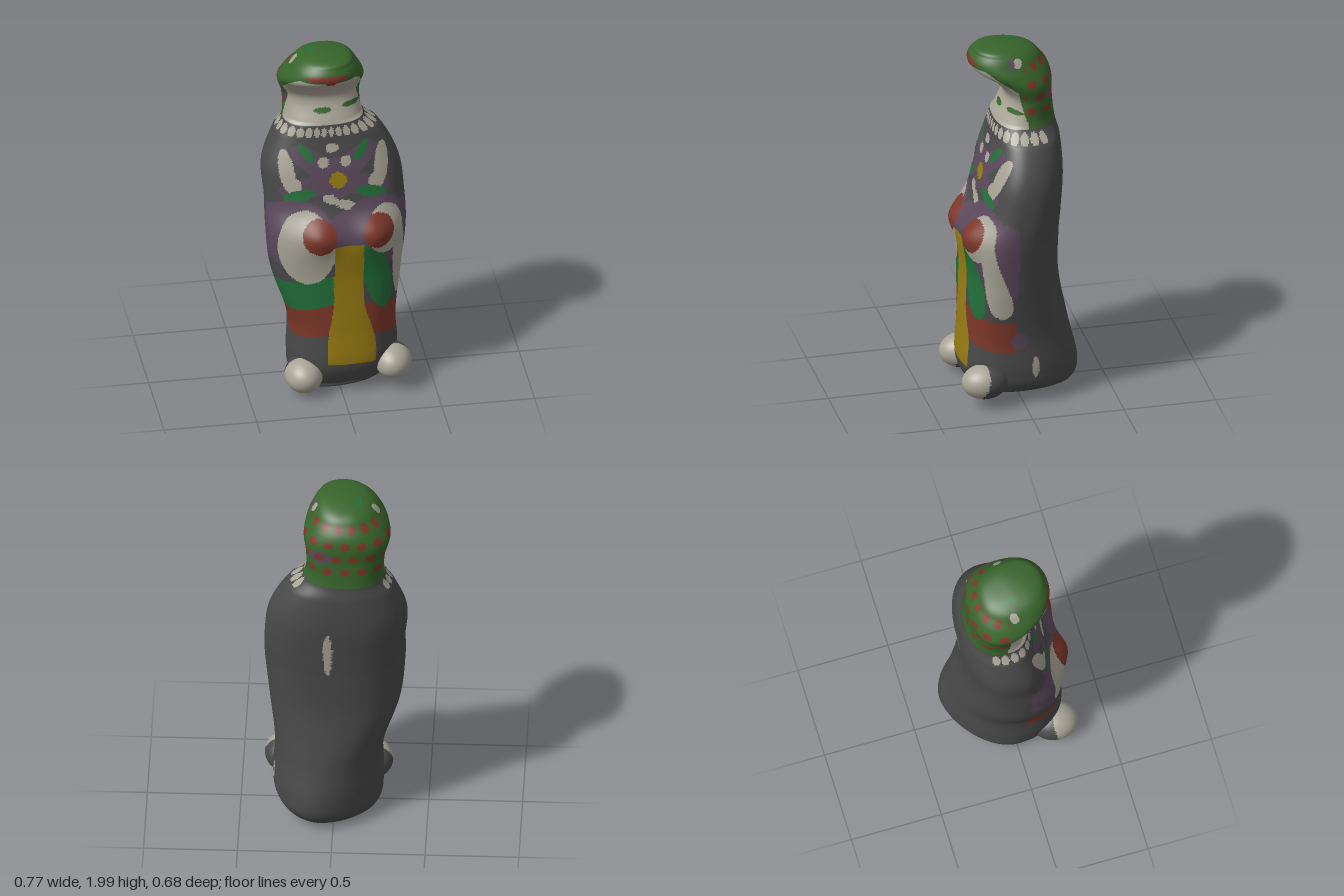
import * as THREE from 'three';

const mat = (name, hex) => {
  const m = new THREE.MeshStandardMaterial({ color: hex });
  m.name = name;
  return m;
};
const MATS = [
  mat('charcoal', 0x494949), mat('cream', 0xa8a496), mat('yellow', 0x977c12), mat('red', 0x7d3729),
  mat('emerald', 0x23703a), mat('moss', 0x37642a), mat('purple', 0x5b495c),
];
const [CHARCOAL, CREAM, YELLOW, RED, EMERALD, MOSS, PURPLE] = MATS.keys();
const { smoothstep } = THREE.MathUtils;

// Outline by height: y, right x, left x, front z, back z
const SECTIONS = [
  [0, 0.02, 0.02, 0, 0], [0.01, -0.17, 0.2, 0.2, -0.22], [0.05, -0.24, 0.3, 0.25, -0.31],
  [0.17, -0.26, 0.33, 0.3, -0.335], [0.4, -0.26, 0.32, 0.29, -0.29], [0.7, -0.35, 0.35, 0.277, -0.24],
  [0.95, -0.375, 0.375, 0.28, -0.24], [1.1, -0.375, 0.375, 0.21, -0.25], [1.3, -0.385, 0.35, 0.16, -0.265],
  [1.48, -0.32, 0.255, 0.11, -0.257], [1.56, -0.27, 0.165, 0.09, -0.24], [1.7, -0.27, 0.15, 0.03, -0.225],
  [1.8, -0.298, 0.165, 0.1, -0.225], [1.86, -0.28, 0.152, 0.195, -0.21], [1.91, -0.245, 0.128, 0.222, -0.175],
  [1.96, -0.2, 0.098, 0.2, -0.125], [1.99, -0.13, 0.055, 0.16, -0.03], [2, -0.04, -0.04, 0.06, 0.06],
];

// Smooth interpolation between outline rows
function section(y) {
  const n = SECTIONS.length;
  let i = 0;
  while (i < n - 2 && y > SECTIONS[i + 1][0]) i++;
  const a = SECTIONS[i], b = SECTIONS[i + 1], p = SECTIONS[Math.max(i - 1, 0)], q = SECTIONS[Math.min(i + 2, n - 1)];
  const h = b[0] - a[0], t = (y - a[0]) / h, s = t * t * (3 - 2 * t);
  return [1, 2, 3, 4].map(k => {
    if (i === 0 || i === n - 2) return a[k] + (b[k] - a[k]) * (i ? 1 - Math.sqrt(1 - t) : Math.sqrt(t));
    const m0 = (b[k] - p[k]) / (b[0] - p[0]) * h, m1 = (q[k] - a[k]) / (q[0] - a[0]) * h;
    return a[k] * (1 - s) + b[k] * s + m0 * t * (1 - t) ** 2 - m1 * t * t * (1 - t);
  });
}

const bump = (x, y, cx, cy, r) => Math.exp(-((x - cx) ** 2 + (y - cy) ** 2) / (r * r));

// Point on the figure at a height and an angle
function skin(y, angle) {
  const [x0, x1, zf, zb] = section(y);
  const zc = zb + (zf - zb) * 0.55, c = Math.cos(angle), s = Math.sin(angle);
  const low = smoothstep(0.7 - y, 0, 0.6);
  const e = 2 / (s > 0 ? (y > 1.57 ? 2.1 : 2.5) : 2.3 - 0.5 * low);
  const pw = v => Math.sign(v) * Math.abs(v) ** e;
  let x = (x0 + x1) / 2 + (x1 - x0) / 2 * pw(c);
  let z = zc + (s > 0 ? zf - zc : zc - zb) * pw(s);
  // tail swings to one side
  if (s < 0) x += 0.06 * low * s * s;
  // folded hands
  if (s > 0) z += 0.045 * s * (bump(x, y, -0.12, 0.98, 0.1) + bump(x, y, 0.2, 0.98, 0.1));
  // slanted underside
  return [x, y + 0.1 * (x + 0.17) * Math.max(0, 1 - y / 0.3), z];
}

function loft(y0, y1, rows, ease) {
  const pos = [], idx = [], around = 200;
  for (let j = 0; j <= rows; j++) {
    const y = y0 + (y1 - y0) * ease(j / rows);
    for (let i = 0; i < around; i++) pos.push(...skin(y, i / around * Math.PI * 2));
  }
  for (let j = 0; j < rows; j++) for (let i = 0; i < around; i++) {
    const a = j * around + i, b = j * around + (i + 1) % around;
    idx.push(a, a + around, b, b, a + around, b + around);
  }
  const g = new THREE.BufferGeometry();
  g.setAttribute('position', new THREE.Float32BufferAttribute(pos, 3));
  g.setIndex(idx);
  g.computeVertexNormals();
  return g;
}

// Sort faces into one group per colour
function painted(name, geo, pick) {
  const p = geo.attributes.position, src = geo.index.array, bins = MATS.map(() => []);
  for (let i = 0; i < src.length; i += 3) {
    const f = [src[i], src[i + 1], src[i + 2]];
    const mid = k => f.reduce((s, v) => s + p.getComponent(v, k), 0) / 3;
    bins[pick(mid(0), mid(1), mid(2))].push(...f);
  }
  geo.clearGroups();
  let start = 0;
  bins.forEach((b, m) => { if (b.length) geo.addGroup(start, b.length, m); start += b.length; });
  geo.setIndex(bins.flat());
  const mesh = new THREE.Mesh(geo, MATS);
  mesh.name = name;
  return mesh;
}

// Paint layers return a colour, or -1 where they do not cover
const SIDES = {
  front: (x, y, z) => z > 0.04 && [x, y],
  throat: (x, y, z) => z > -0.1 && [x, y],
  back: (x, y, z) => z < -0.1 && [x, y],
  left: (x, y, z) => x > 0.05 && [z, y],
  right: (x, y, z) => x < -0.18 && [z, y],
  top: (x, y, z) => y > 1.9 && [x, z],
};
const oval = (color, side, u, v, ru, rv = ru, turn = 0) => (x, y, z) => {
  const q = SIDES[side](x, y, z);
  if (!q) return -1;
  const c = Math.cos(turn), s = Math.sin(turn), du = q[0] - u, dv = q[1] - v;
  return ((du * c + dv * s) / ru) ** 2 + ((dv * c - du * s) / rv) ** 2 < 1 ? color : -1;
};
// Two front ovals mirrored about the chest line
const pair = (color, u, v, ru, rv, turn) => [
  oval(color, 'front', -0.02 + u, v, ru, rv, turn), oval(color, 'front', -0.02 - u, v, ru, rv, -turn),
];
const layered = (base, layers) => (x, y, z) => layers.reduce((c, f) => {
  const k = f(x, y, z);
  return k < 0 ? c : k;
}, base(x, y, z));

// Bead collar, spaced by angle round the neck
const beads = (x, y, z) => {
  const a = Math.atan2(x + 0.05, z + 0.08) / 0.21, f = a - Math.floor(a) - 0.5;
  return Math.abs(a) < 9 && (f / 0.43) ** 2 + ((y - 1.525) / 0.027) ** 2 < 1 ? CREAM : -1;
};
const chest = [
  ...pair(PURPLE, 0.11, 1.36, 0.14, 0.06, 0.6), ...pair(PURPLE, 0.15, 1.23, 0.15, 0.055, -0.2),
  oval(PURPLE, 'front', -0.02, 1.28, 0.13, 0.11),
  ...pair(CREAM, 0.255, 1.32, 0.04, 0.11, -0.1), ...pair(CREAM, 0.225, 1.24, 0.045, 0.045, 0),
  ...pair(CREAM, 0.06, 1.365, 0.03, 0.03, 0), oval(CREAM, 'front', -0.03, 1.44, 0.035, 0.025),
  ...pair(EMERALD, 0.15, 1.415, 0.025, 0.06, -0.65), ...pair(EMERALD, 0.195, 1.185, 0.085, 0.031, -0.25),
  oval(YELLOW, 'front', -0.005, 1.265, 0.045),
  oval(CREAM, 'front', -0.05, 1.165, 0.04, 0.025, -0.3), oval(CREAM, 'front', 0.03, 1.13, 0.06, 0.025, -0.3),
];

// Sloping skirt bands, falling away from the middle
const band = (color, minX, maxX, height, slope, half) => (x, y, z) =>
  z > 0.05 && x > minX && x < maxX && Math.abs(y - height + slope * Math.abs(x - 0.03)) < half ? color : -1;
const sash = (x, y, z) => {
  const k = smoothstep(0.6 - y, 0, 0.3);
  return z > 0.1 && y > 0.2 && y < 0.925 && Math.abs(x - 0.035 - 0.015 * k) < 0.08 + 0.05 * k ? YELLOW : -1;
};
const limbs = [
  ...pair(PURPLE, 0.21, 0.96, 0.2, 0.2, 0), oval(PURPLE, 'front', 0.03, 1, 0.1),
  oval(PURPLE, 'front', 0.35, 0.88, 0.05, 0.22),
  band(EMERALD, -0.4, 0, 0.65, 0.2, 0.1), band(RED, -0.4, 0.4, 0.5, 0.3, 0.09),
  oval(EMERALD, 'front', 0.19, 0.72, 0.075, 0.22, 0.22),
  oval(CREAM, 'front', -0.185, 0.9, 0.15, 0.21),
  oval(CREAM, 'front', 0.24, 0.98, 0.1, 0.13), oval(CREAM, 'front', 0.315, 0.8, 0.035, 0.26),
  oval(CREAM, 'left', 0.11, 0.58, 0.04, 0.055, 0.5), oval(PURPLE, 'left', 0.03, 0.39, 0.045, 0.05),
  oval(RED, 'front', -0.12, 0.98, 0.09, 0.095), oval(RED, 'front', 0.2, 0.985, 0.085, 0.09),
  sash,
];
const rearMarks = [oval(CREAM, 'left', -0.06, 0.23, 0.02, 0.06), oval(CREAM, 'back', 0.03, 1.13, 0.024, 0.14)];

// Rows of spots round the back of the head
const spots = (x, y, z) => {
  const row = Math.round((y - 1.66) / 0.082), a = Math.atan2(x + 0.06, -z - 0.01) / 0.42 + row / 2;
  const du = (a - Math.round(a)) * 0.075, dv = y - 1.66 - row * 0.082;
  return row >= 0 && row < 4 && z < -0.04 && du * du + dv * dv < 0.00048 ? RED : -1;
};
const headMarks = [
  oval(PURPLE, 'back', 0.07, 1.74, 0.06, 0.04), oval(CHARCOAL, 'right', -0.07, 1.7, 0.04, 0.06),
  oval(EMERALD, 'top', -0.13, -0.02, 0.016, 0.05), spots,
  // eyes, mouth and throat marks
  oval(CREAM, 'left', -0.01, 1.935, 0.024), oval(CREAM, 'right', -0.01, 1.935, 0.024),
  oval(PURPLE, 'left', 0.025, 1.935, 0.016, 0.03),
  oval(RED, 'front', -0.07, 1.918, 0.115, 0.02), oval(RED, 'front', -0.05, 1.9, 0.03, 0.02),
  oval(MOSS, 'throat', -0.07, 1.635, 0.05, 0.014), oval(MOSS, 'throat', 0.09, 1.645, 0.05, 0.014),
];

// Pale face and throat in front, green crown and nape behind
const faceEdge = y => (y < 1.78 ? (y - 1.57) * 0.25 - 0.06 : (y - 1.78) * 1.4);
const headBase = (x, y, z) => (y < 1.895 && z > faceEdge(y) ? CREAM : MOSS);
const bodyBase = (x, y, z) => (y < 1.565 ? CHARCOAL : z > -0.06 ? CREAM : MOSS);

export function createModel() {
  const group = new THREE.Group();
  group.name = 'carvedFigure';
  const bodyPaint = layered(bodyBase, [beads, ...chest, ...limbs, ...rearMarks]);
  group.add(painted('body', loft(0, 1.6, 210, t => t ** 1.2), bodyPaint));
  group.add(painted('head', loft(1.6, 2, 90, t => 1 - (1 - t) ** 1.5), layered(headBase, headMarks)));

  // Feet with pale toes
  for (const [name, side, x, y, z] of [['rightFoot', -1, -0.2, 0.115, 0.22], ['leftFoot', 1, 0.28, 0.155, 0.21]]) {
    const foot = new THREE.SphereGeometry(1, 48, 32).scale(0.102, 0.094, 0.125).translate(x, y, z);
    group.add(painted(name, foot, (px, py, pz) =>
      (pz + 0.3 * (py - y) + 0.25 * side * (px - x) > 0.235 ? CREAM : CHARCOAL)));
  }
  return group;
}
